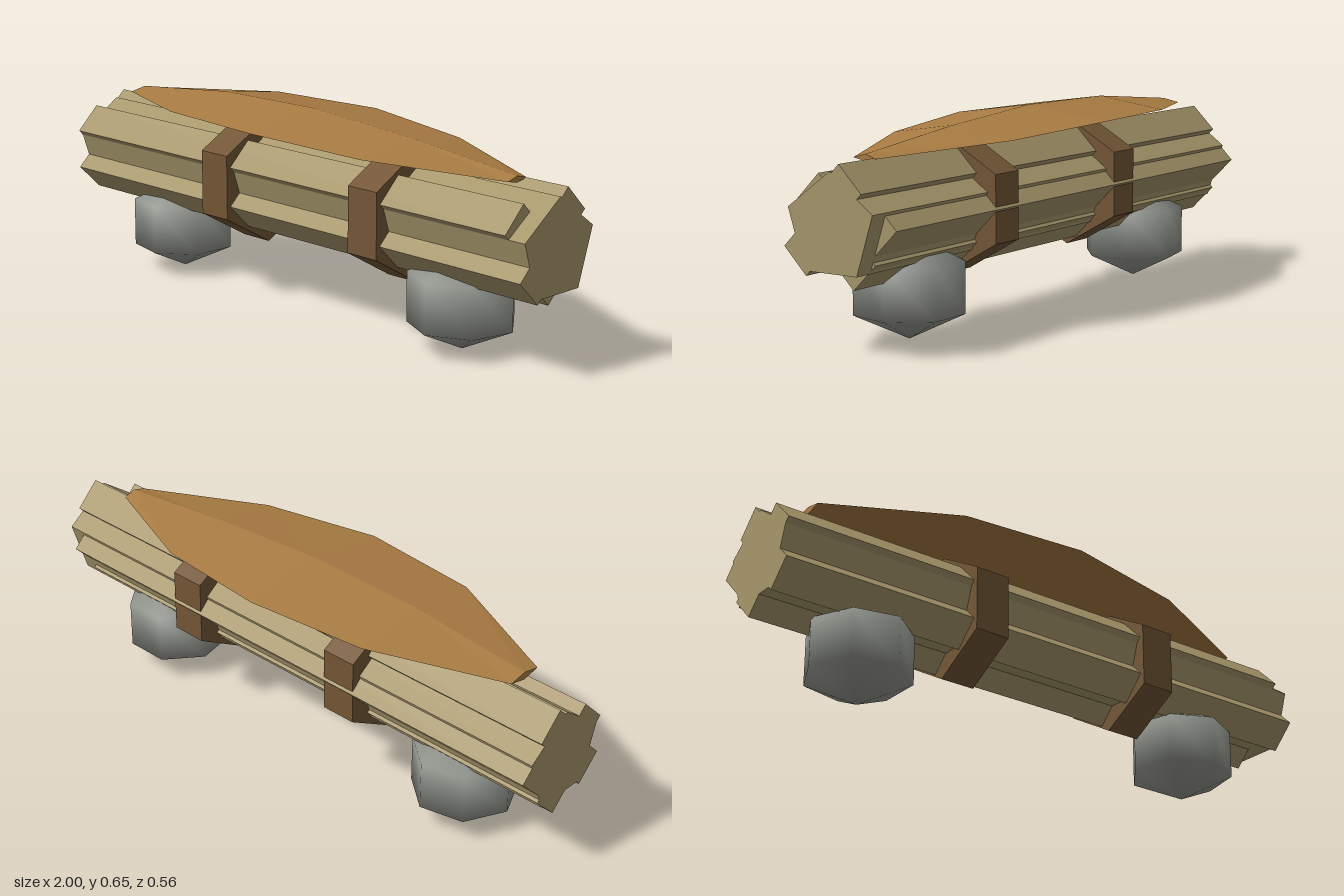
import * as THREE from 'three';

const AXIS_Y = 0.377;

// Flat-sided prism lying along x, with one corner pointing up
function prism(radius, sides, x0, x1, y, z) {
  const g = new THREE.CylinderGeometry(radius, radius, x1 - x0, sides, 1, false, Math.PI / 2);
  g.rotateZ(Math.PI / 2);
  g.translate((x0 + x1) / 2, y, z);
  const flat = g.toNonIndexed();
  flat.computeVertexNormals();
  return flat;
}

// Closed body from diamond sections: [x, halfWidth, ridgeY, edgeY, bottomY]
function leafGeometry(sections) {
  const rings = sections.map(([x, w, top, edge, bottom]) => [
    [x, top, 0], [x, edge, w], [x, bottom, 0], [x, edge, -w],
  ]);
  const pos = [];
  const quad = (a, b, c, d) => pos.push(...a, ...b, ...c, ...a, ...c, ...d);
  for (let i = 0; i < rings.length - 1; i++) {
    const p = rings[i], q = rings[i + 1];
    for (let k = 0; k < 4; k++) {
      const n = (k + 1) % 4;
      quad(p[k], p[n], q[n], q[k]);
    }
  }
  const s = rings[0], e = rings[rings.length - 1];
  quad(s[3], s[2], s[1], s[0]);
  quad(e[0], e[1], e[2], e[3]);
  const g = new THREE.BufferGeometry();
  g.setAttribute('position', new THREE.Float32BufferAttribute(pos, 3));
  g.computeVertexNormals();
  return g;
}

export function createModel() {
  const model = new THREE.Group();
  const material = (name, color) => {
    const m = new THREE.MeshStandardMaterial({ color });
    m.name = name;
    return m;
  };
  const reed = material('dry reed', 0xa6966a);
  const binding = material('brown binding', 0x735636);
  const leafTan = material('leaf tan', 0xa87b42);
  const stone = material('grey stone', 0x8e918a);

  const add = (name, geometry, mat) => {
    const mesh = new THREE.Mesh(geometry, mat);
    mesh.name = name;
    model.add(mesh);
    return mesh;
  };

  // Bundle: a five-sided core with five square reeds around it
  add('bundleCore', prism(0.16, 5, -1, 1, AXIS_Y, 0), reed);
  const reedEnds = [0.94, 1, 0.94, 0.94, 1];
  reedEnds.forEach((end, i) => {
    const a = Math.PI / 5 + (i * Math.PI * 2) / 5;
    add('reed' + (i + 1), prism(0.079, 4, -1, end, AXIS_Y + Math.sin(a) * 0.11, Math.cos(a) * 0.11), reed);
  });

  // Six-sided bindings round the bundle
  [-0.275, 0.392].forEach((x, i) => {
    add('binding' + (i + 1), prism(0.21, 6, x - 0.06, x + 0.06, AXIS_Y, 0), binding);
  });

  // Rounded stones under both ends
  [[-0.64, 0], [0.64, Math.PI / 2]].forEach(([x, turn], i) => {
    const rock = add('stone' + (i + 1), new THREE.SphereGeometry(0.196, 7, 3), stone);
    rock.scale.y = 0.81;
    rock.position.set(x, 0.158, 0);
    rock.rotation.y = turn;
  });

  // Long drooping leaf on top
  add('leaf', leafGeometry([
    [-0.84, 0.06, 0.6, 0.588, 0.575],
    [-0.42, 0.24, 0.64, 0.606, 0.597],
    [0, 0.28, 0.645, 0.605, 0.595],
    [0.42, 0.22, 0.615, 0.582, 0.574],
    [0.84, 0.042, 0.57, 0.558, 0.55],
  ]), leafTan);

  return model;
}
